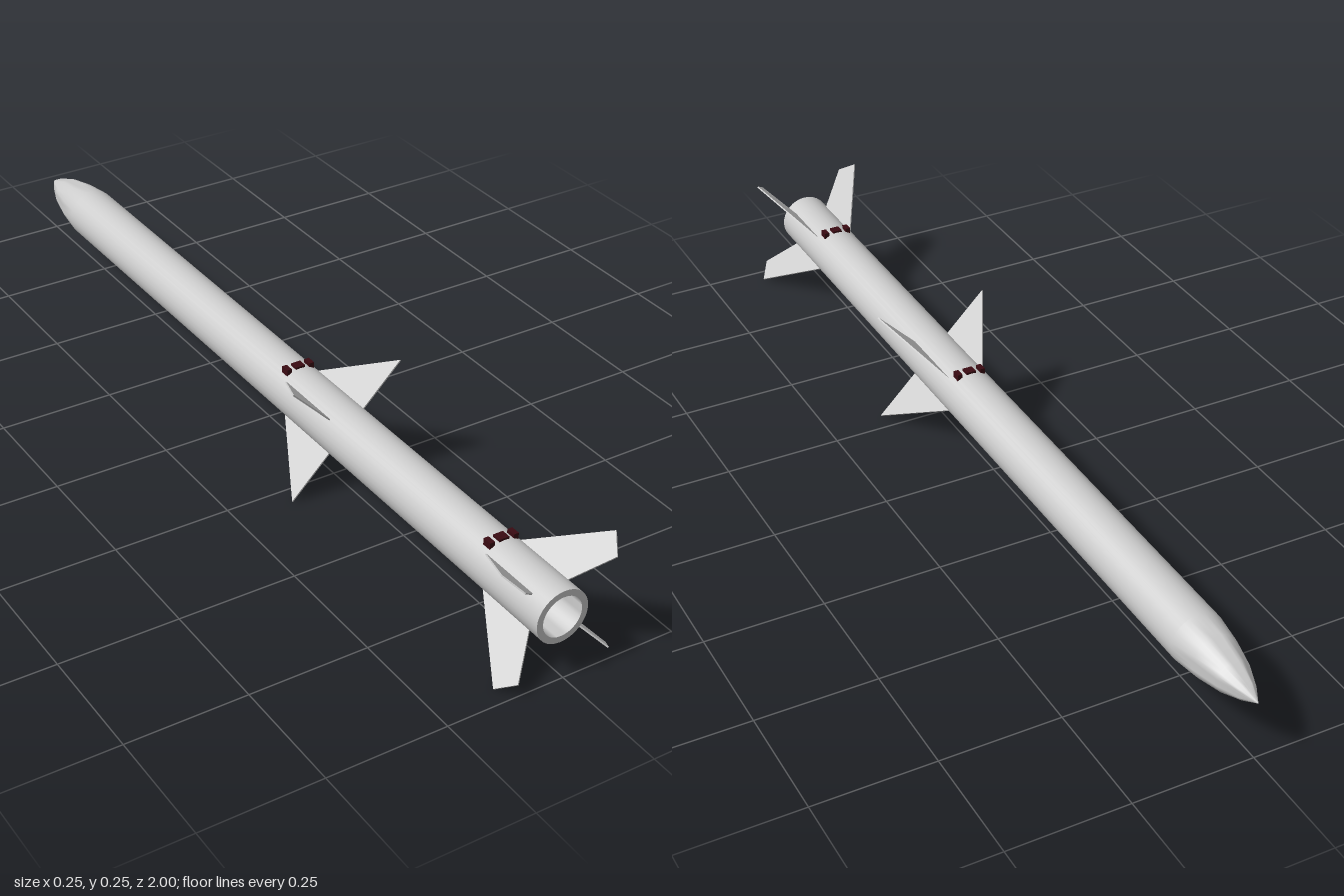
import * as THREE from 'three';
import { toCreasedNormals } from 'three/addons/utils/BufferGeometryUtils.js';

const AXIS_Y = 0.128, R = 0.0565, BORE = 0.043;
const grey = new THREE.MeshStandardMaterial({ color: 0xcccccc });
const dark = new THREE.MeshStandardMaterial({ color: 0x3a0a12 });

function addMesh(parent, name, geometry, material) {
  const mesh = new THREE.Mesh(geometry, material);
  mesh.name = name;
  parent.add(mesh);
  return mesh;
}

// Lathe around the long axis; points are [radius, z], listed from -z to +z
function lathe(points) {
  const g = new THREE.LatheGeometry(points.map(([r, z]) => new THREE.Vector2(r, z)), 32);
  g.rotateX(Math.PI / 2);
  return toCreasedNormals(g, 0.6);
}

// Four thin fins in an X; outline points are [radius, z]
function addFins(parent, name, outline, thickness) {
  const shape = new THREE.Shape(outline.map(([r, z]) => new THREE.Vector2(r, z)));
  const g = new THREE.ExtrudeGeometry(shape, { depth: thickness, bevelEnabled: false });
  g.translate(0, 0, -thickness / 2);
  g.rotateX(Math.PI / 2);
  for (let i = 0; i < 4; i++) {
    addMesh(parent, name, g, grey).rotation.z = Math.PI / 4 + i * Math.PI / 2;
  }
}

export function createModel() {
  const model = new THREE.Group();
  model.name = 'missile';
  const airframe = new THREE.Group();
  airframe.name = 'airframe';
  airframe.position.y = AXIS_Y;
  model.add(airframe);

  // Pointed nose, straight tube, rear rim and hollow nozzle
  addMesh(airframe, 'body', lathe([
    [0, -1], [0.019, -0.965], [0.036, -0.92], [0.049, -0.86], [R, -0.8],
    [R, 0.985], [BORE, 0.985], [BORE, 0.915],
  ]), grey);

  // Dark disc closing the nozzle
  const plug = addMesh(airframe, 'nozzlePlug', new THREE.CircleGeometry(BORE, 32), dark);
  plug.position.z = 0.915;

  // Triangular wings and swept tail fins
  addFins(airframe, 'wing', [[0.05, 0.118], [0.177, 0.293], [0.05, 0.293]], 0.003);
  addFins(airframe, 'tailFin',
    [[0.05, 0.8], [0.177, 0.963], [0.142, 1], [0.05, 0.942]], 0.003);

  // Two rows of hanger lugs on top: a wide centre block between two side blocks
  for (const z of [0.111, 0.8]) {
    const lugs = new THREE.Group();
    lugs.name = 'hangerLugs';
    lugs.position.z = z;
    airframe.add(lugs);
    for (const [x, width, bottom] of [[-0.0265, 0.011, 0.045], [0, 0.0215, 0.05], [0.0265, 0.011, 0.045]]) {
      const top = 0.0605;
      const lug = addMesh(lugs, 'lug', new THREE.BoxGeometry(width, top - bottom, 0.02), dark);
      lug.position.set(x, (top + bottom) / 2, 0);
    }
  }
  return model;
}
